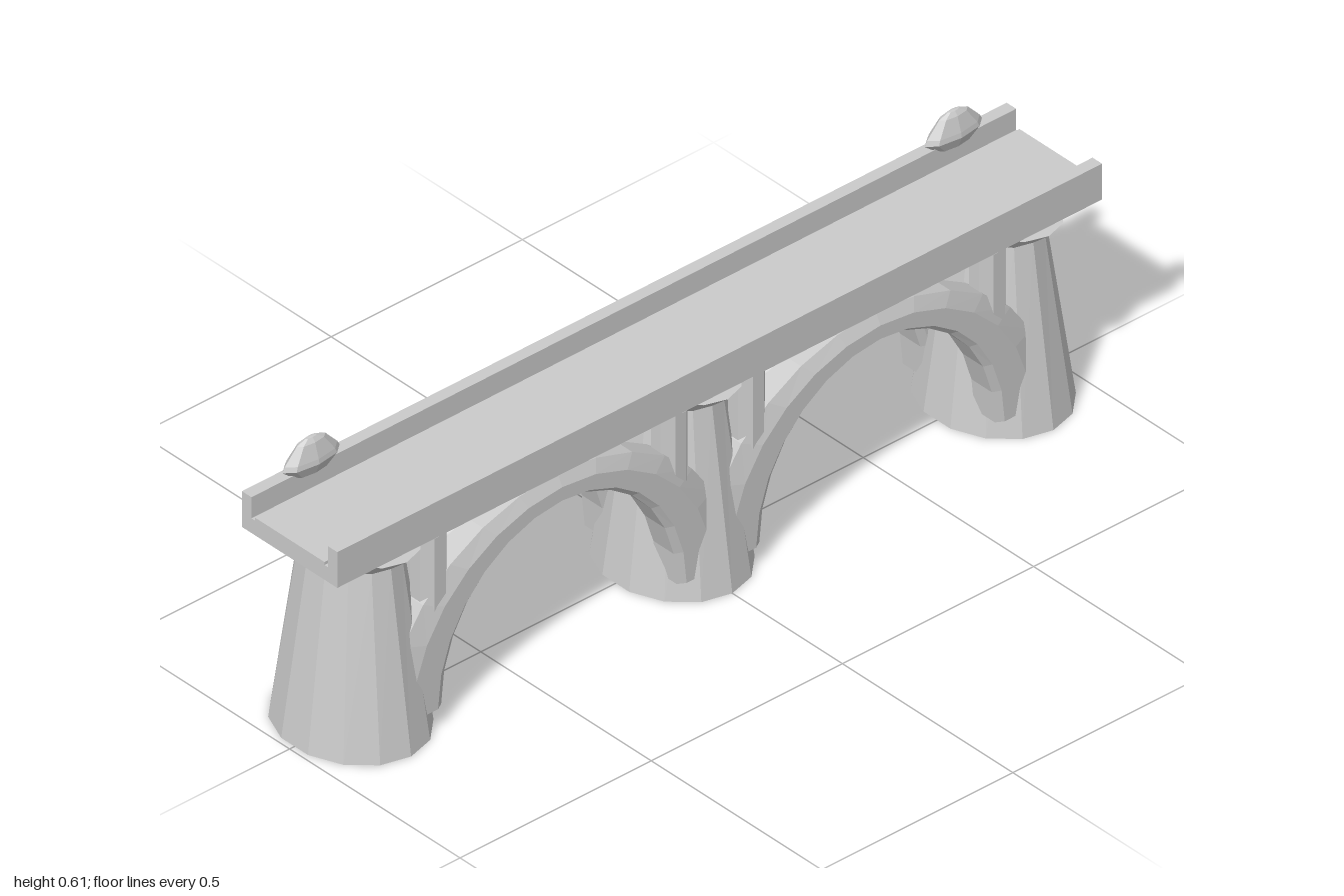
import * as THREE from 'three';

const stone = new THREE.MeshStandardMaterial({ color: 0xcacaca, flatShading: true, side: THREE.DoubleSide });
stone.name = 'stone grey';

const PIER_Z = 0.84;

function part(name, geometry, x = 0, y = 0, z = 0) {
  const mesh = new THREE.Mesh(geometry, stone);
  mesh.name = name;
  mesh.position.set(x, y, z);
  return mesh;
}

// Tapered 14-sided oval block; sizes are half extents in x and z
function taperedOval([x0, z0], [x1, z1], y0, y1, open) {
  const g = new THREE.CylinderGeometry(1, 1, 1, 14, 1, open, Math.PI / 14);
  const p = g.attributes.position;
  for (let i = 0; i < p.count; i++) {
    const t = p.getY(i) + 0.5;
    p.setXYZ(
      i,
      p.getX(i) * THREE.MathUtils.lerp(x0, x1, t),
      THREE.MathUtils.lerp(y0, y1, t),
      (p.getZ(i) / 0.975) * THREE.MathUtils.lerp(z0, z1, t)
    );
  }
  g.computeVertexNormals();
  return g;
}

// Chamfered rib swept over half an ellipse, deeper at the springing than the crown
function archRib() {
  const section = [
    [-0.04, 0.12], [-0.03, 0], [0.03, 0], [0.04, 0.12],
    [0.04, 0.6], [0.026, 1], [-0.026, 1], [-0.04, 0.6],
  ];
  const n = section.length, steps = 14, pos = [], idx = [];
  for (let s = 0; s <= steps; s++) {
    const a = (s / steps) * Math.PI;
    for (const [x, t] of section) {
      pos.push(x, 0.05 + (0.338 + 0.066 * t) * Math.sin(a), (0.308 + 0.142 * t) * Math.cos(a));
    }
  }
  for (let s = 0; s < steps; s++) {
    for (let i = 0; i < n; i++) {
      const a = s * n + i, b = s * n + ((i + 1) % n);
      idx.push(a, a + n, b + n, a, b + n, b);
    }
  }
  const last = steps * n;
  for (let i = 1; i < n - 1; i++) {
    idx.push(0, i, i + 1, last, last + i + 1, last + i);
  }
  const g = new THREE.BufferGeometry();
  g.setAttribute('position', new THREE.Float32BufferAttribute(pos, 3));
  g.setIndex(idx);
  const flat = g.toNonIndexed();
  flat.computeVertexNormals();
  return flat;
}

export function createModel() {
  const bridge = new THREE.Group();
  bridge.name = 'bridge';

  // Deck slab, thin road surface and low parapets
  bridge.add(part('deckSlab', new THREE.BoxGeometry(0.28, 0.035, 2), 0, 0.4725, 0));
  bridge.add(part('roadSurface', new THREE.BoxGeometry(0.204, 0.007, 2), 0, 0.4935, 0));
  const parapet = new THREE.BoxGeometry(0.028, 0.05, 2);
  for (const x of [-0.126, 0.126]) bridge.add(part('parapet', parapet, x, 0.515, 0));

  // Hollow tapered piers with flared capitals
  const shaft = taperedOval([0.177, 0.147], [0.118, 0.09], 0, 0.415, true);
  const capital = taperedOval([0.118, 0.09], [0.165, 0.112], 0.415, 0.455, false);
  for (const z of [-PIER_Z, 0, PIER_Z]) {
    bridge.add(part('pier', shaft, 0, 0, z), part('capital', capital, 0, 0, z));
  }

  // Two spans, each with a pair of ribs and small columns carrying the deck
  const rib = archRib();
  const column = new THREE.CylinderGeometry(0.038, 0.038, 0.21, 8, 1, false, Math.PI / 8);
  for (const z of [-0.416, 0.416]) {
    for (const x of [-0.105, 0.105]) {
      bridge.add(part('archRib', rib, x, 0, z));
      for (const end of [-1, 1]) {
        bridge.add(part('spandrelColumn', column, x, 0.35, z + end * 0.315));
      }
    }
  }

  // Flattened finials on the right parapet above the end piers
  const finial = new THREE.LatheGeometry([
    [0, 0], [0.6, 0], [1, 0.025], [0.92, 0.036], [0.5, 0.07], [0.2, 0.079], [0, 0.08],
  ].map(([r, y]) => new THREE.Vector2(r, y)), 8);
  finial.scale(0.025, 1, 0.075);
  for (const z of [-PIER_Z, PIER_Z]) {
    bridge.add(part('finial', finial, -0.117, 0.53, z));
  }

  return bridge;
}
